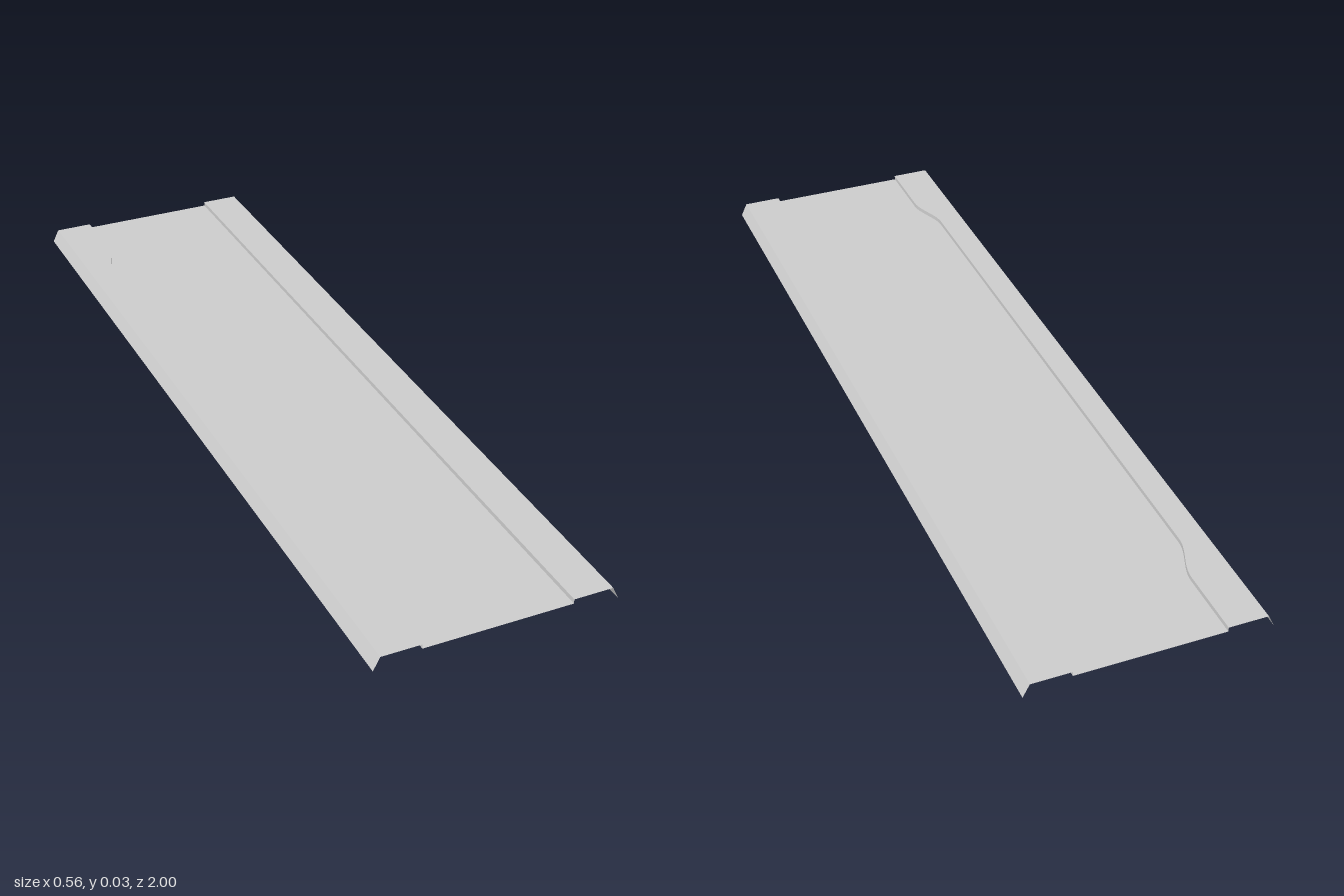
import * as THREE from 'three';

const material = new THREE.MeshStandardMaterial({ color: 0xcccccc, side: THREE.DoubleSide });

const TOP = 0.031, FLOOR = 0.0205;      // heights of the flanges and the recessed panel
const EDGE = 0.279, BEND = 0.264;       // foot and top of the sloping lips
const STEP = 0.172, BULGE = 0.204;      // step position at the ends and along the widened middle

// Stations along the length, denser where the step curves
const stations = [-1];
for (let i = 0; i <= 12; i++) stations.push(-0.835 + i * 0.01);
for (let i = 12; i >= 0; i--) stations.push(0.835 - i * 0.01);
stations.push(1);

// Right-hand step: widens outward in an S-curve near both ends
const wavyStep = (z) => -STEP - (BULGE - STEP) * (1 - THREE.MathUtils.smoothstep(Math.abs(z), 0.715, 0.835));
const at = (x) => () => x;

// Sheet strip between two long edges, from lower x (or the left of the section) to higher x
function strip(name, xa, ya, xb, yb) {
  const positions = [], indices = [];
  stations.forEach((z, i) => {
    positions.push(xa(z), ya, z, xb(z), yb, z);
    if (i) {
      const k = 2 * (i - 1);
      indices.push(k, k + 2, k + 1, k + 1, k + 2, k + 3);
    }
  });
  const geometry = new THREE.BufferGeometry();
  geometry.setAttribute('position', new THREE.Float32BufferAttribute(positions, 3));
  geometry.setIndex(indices);
  geometry.computeVertexNormals();
  const mesh = new THREE.Mesh(geometry, material);
  mesh.name = name;
  return mesh;
}

export function createModel() {
  const group = new THREE.Group();
  group.name = 'foldedSheetPanel';
  group.add(
    // Right side: lip, flange and curved step
    strip('rightLip', at(-EDGE), 0, at(-BEND), TOP),
    strip('rightFlange', at(-BEND), TOP, wavyStep, TOP),
    strip('rightStep', wavyStep, TOP, wavyStep, FLOOR),
    // Recessed middle
    strip('recessedPanel', wavyStep, FLOOR, at(STEP), FLOOR),
    // Left side: straight step, flange and lip
    strip('leftStep', at(STEP), FLOOR, at(STEP), TOP),
    strip('leftFlange', at(STEP), TOP, at(BEND), TOP),
    strip('leftLip', at(BEND), TOP, at(EDGE), 0)
  );
  return group;
}
